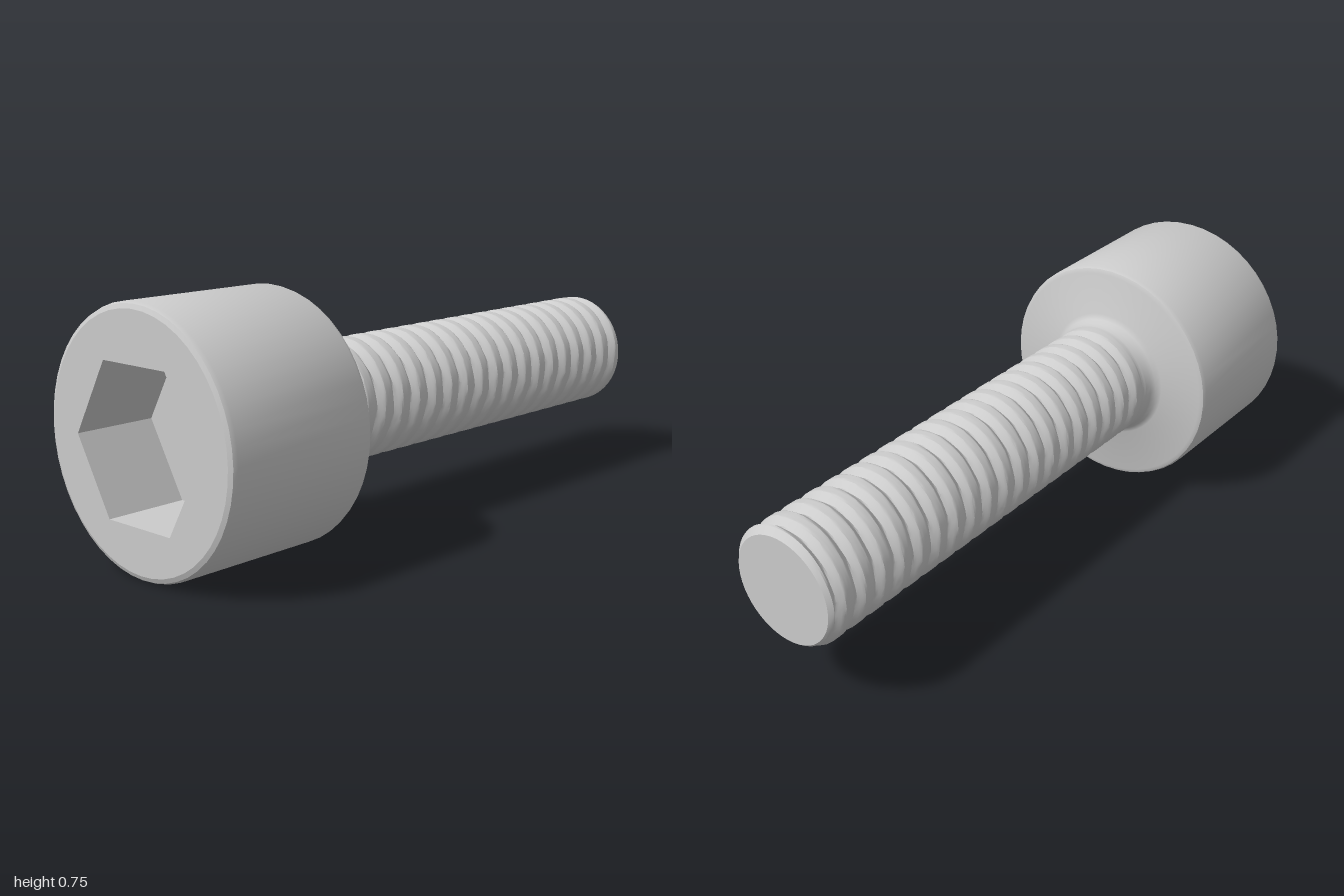
import * as THREE from 'three';
import { toCreasedNormals } from 'three/addons/utils/BufferGeometryUtils.js';

const AXIS_Y = 0.375, HEAD_R = 0.373, SHANK_R = 0.185, ROOT_R = 0.166;
const PITCH = 0.075, SEG = 48;
const HEX_R = 0.25, HEX_Y = -0.008, HEX_DEPTH = 0.25;

// Lathe profile [radius, z] turned so its axis lies along z
function turned(points) {
  const g = new THREE.LatheGeometry(points.map(([r, z]) => new THREE.Vector2(r, z)), SEG);
  g.rotateX(Math.PI / 2);
  return toCreasedNormals(g, 0.6);
}

// Radius of the helical thread, tapered to a chamfer at the tip
function threadRadius(z, angle) {
  const phase = (((z / PITCH + angle / (2 * Math.PI)) % 1) + 1) % 1;
  const groove = Math.max(0, 1 - Math.abs(phase - 0.5) / 0.3);
  const runOut = THREE.MathUtils.clamp((0.455 - z) / 0.03, 0, 1);
  const r = SHANK_R - (SHANK_R - ROOT_R) * groove * runOut;
  return Math.min(r, 0.165 + (z + 1));
}

function threadGeometry() {
  const z0 = -1, z1 = 0.46, rows = 240, pos = [], idx = [];
  for (let j = 0; j <= rows; j++) {
    const z = z0 + (z1 - z0) * j / rows;
    for (let i = 0; i <= SEG; i++) {
      const a = i / SEG * 2 * Math.PI, r = threadRadius(z, a);
      pos.push(r * Math.cos(a), r * Math.sin(a), z);
      if (i < SEG && j < rows) {
        const p = j * (SEG + 1) + i, q = p + SEG + 1;
        idx.push(p, p + 1, q, p + 1, q + 1, q);
      }
    }
  }
  const g = new THREE.BufferGeometry();
  g.setAttribute('position', new THREE.Float32BufferAttribute(pos, 3));
  g.setIndex(idx);
  return toCreasedNormals(g, 0.5);
}

export function createModel() {
  const model = new THREE.Group();
  model.name = 'socketHeadScrew';
  const mat = new THREE.MeshStandardMaterial({ color: 0xcccccc, side: THREE.DoubleSide });
  const add = (name, geometry, z = 0) => {
    const mesh = new THREE.Mesh(geometry, mat);
    mesh.name = name;
    mesh.position.set(0, AXIS_Y, z);
    model.add(mesh);
    return mesh;
  };

  // Head: underside fillet, chamfered edges and cylindrical wall
  add('headBody', turned([
    [SHANK_R, 0.455], [0.188, 0.475], [0.197, 0.49], [0.213, 0.5],
    [0.355, 0.5], [0.368, 0.506], [HEAD_R, 0.518],
    [HEAD_R, 0.982], [0.368, 0.994], [0.355, 1],
  ]));

  // Front face with the hexagonal opening
  const hex = [];
  for (let i = 0; i < 6; i++) {
    const a = i * Math.PI / 3;
    hex.push(new THREE.Vector2(HEX_R * Math.cos(a), HEX_Y + HEX_R * Math.sin(a)));
  }
  const face = new THREE.Shape().absarc(0, 0, 0.355, 0, Math.PI * 2);
  face.holes.push(new THREE.Path(hex));
  add('headFace', new THREE.ShapeGeometry(face, SEG / 2), 1);

  // Socket walls and floor
  const walls = new THREE.CylinderGeometry(HEX_R, HEX_R, HEX_DEPTH, 6, 1, true);
  walls.rotateY(Math.PI / 2).rotateX(Math.PI / 2).translate(0, HEX_Y, 0);
  add('socketWalls', toCreasedNormals(walls, 0.5), 1 - HEX_DEPTH / 2);
  add('socketFloor', new THREE.ShapeGeometry(new THREE.Shape(hex)), 1 - HEX_DEPTH);

  // Threaded shank and its flat tip
  add('threadedShank', threadGeometry());
  add('shankTip', new THREE.CircleGeometry(0.165, SEG).rotateY(Math.PI), -1);

  return model;
}
